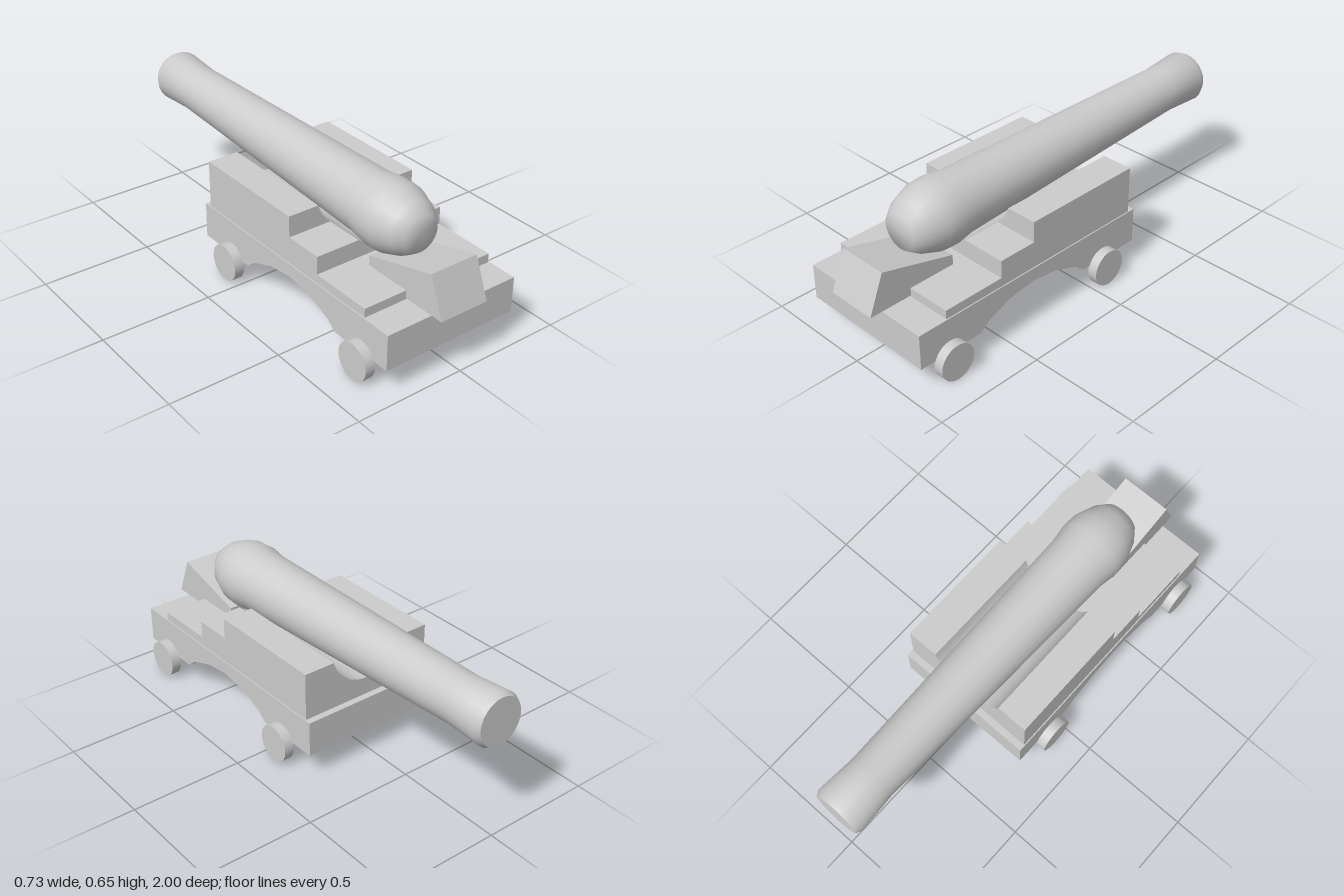
import * as THREE from 'three';
import { toCreasedNormals } from 'three/addons/utils/BufferGeometryUtils.js';

const material = new THREE.MeshStandardMaterial({ color: 0xcccccc });

function add(parent, name, geometry) {
  const mesh = new THREE.Mesh(geometry, material);
  mesh.name = name;
  parent.add(mesh);
  return mesh;
}

// Side profile of [z, y] points, extruded symmetrically across x
function sideExtrude(points, width) {
  const shape = new THREE.Shape(points.map(([z, y]) => new THREE.Vector2(z, y)));
  const geometry = new THREE.ExtrudeGeometry(shape, { depth: width, bevelEnabled: false });
  geometry.translate(0, 0, -width / 2).rotateY(-Math.PI / 2);
  return toCreasedNormals(geometry, 0.45);
}

// Carriage block with a round trough for the barrel cut into its top
function troughBlock(top, z0, z1) {
  const w = 0.318, bottom = 0.27, cy = 0.53, r = 0.18;
  const a = Math.asin((top - cy) / r);
  const shape = new THREE.Shape();
  shape.moveTo(-w, bottom);
  shape.lineTo(w, bottom);
  shape.lineTo(w, top);
  shape.lineTo(r * Math.cos(a), top);
  shape.absarc(0, cy, r, a, -Math.PI - a, true);
  shape.lineTo(-w, top);
  const geometry = new THREE.ExtrudeGeometry(shape, { depth: z1 - z0, bevelEnabled: false, curveSegments: 10 });
  geometry.translate(0, 0, z0);
  return toCreasedNormals(geometry, 0.5);
}

export function createModel() {
  const model = new THREE.Group();
  model.name = 'cannon';

  // Carriage bed with arched underside
  const arch = [[0.04, 0.11], [0.09, 0.15], [0.21, 0.195], [0.335, 0.21], [0.46, 0.195], [0.58, 0.15], [0.63, 0.11]];
  add(model, 'carriageBed', sideExtrude(
    [[-0.27, 0.27], [-0.27, 0.11], ...arch, [0.94, 0.11], [0.94, 0.27]], 0.646));

  // Stepped cheeks
  add(model, 'cheekBlock', troughBlock(0.485, -0.24, 0.33));
  add(model, 'middleStep', troughBlock(0.39, 0.33, 0.51));
  add(model, 'lowerStep', new THREE.BoxGeometry(0.636, 0.04, 0.29)).position.set(0, 0.29, 0.655);

  // Elevating wedge under the breech
  add(model, 'wedge', sideExtrude(
    [[0.58, 0.275], [1.0, 0.275], [0.93, 0.45], [0.58, 0.355]], 0.23));

  // Barrel, turned from muzzle to breech and tilted slightly upwards
  const profile = [[0, -1], [0.105, -1], [0.118, -0.975], [0.107, -0.8], [0.14, 0.46],
    [0.152, 0.54], [0.149, 0.61], [0.119, 0.695], [0.083, 0.745], [0, 0.745]];
  const barrel = new THREE.LatheGeometry(profile.map(([r, z]) => new THREE.Vector2(r, z)), 24);
  barrel.rotateX(Math.PI / 2);
  const barrelMesh = add(model, 'barrel', toCreasedNormals(barrel, 1.05));
  barrelMesh.rotation.x = 0.025;
  barrelMesh.position.y = 0.509;

  // Wheels
  const wheel = new THREE.CylinderGeometry(0.0825, 0.0825, 0.045, 24).rotateZ(Math.PI / 2);
  for (const [end, z] of [['front', 0.79], ['rear', -0.075]]) {
    for (const [side, s] of [['Left', 1], ['Right', -1]]) {
      add(model, end + side + 'Wheel', wheel).position.set(s * 0.343, 0.0825, z);
    }
  }
  return model;
}
